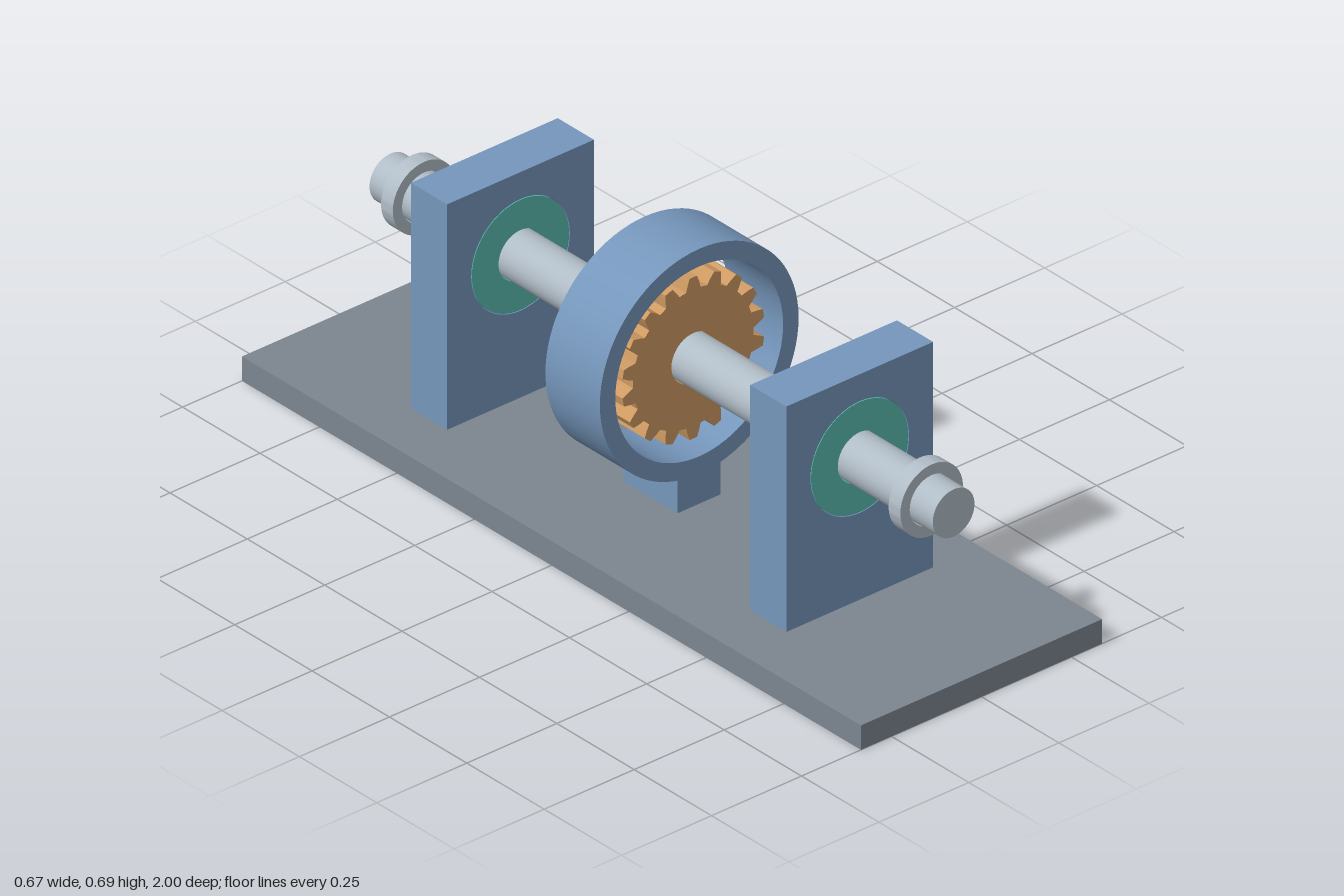
import * as THREE from 'three';
import { toCreasedNormals } from 'three/addons/utils/BufferGeometryUtils.js';

const AXIS_Y = 0.41;      // shaft height
const BORE = 0.061;       // clearance bore around the shaft
const BASE_TOP = 0.06;

function material(name, color) {
  const m = new THREE.MeshStandardMaterial({ color });
  m.name = name;
  return m;
}

function hole(shape, radius) {
  const path = new THREE.Path();
  path.absarc(0, 0, radius, 0, Math.PI * 2, true);
  shape.holes.push(path);
  return shape;
}

function disc(radius) {
  const shape = new THREE.Shape();
  shape.absarc(0, 0, radius, 0, Math.PI * 2, false);
  return shape;
}

// Extrude along z, centred on z = 0, smooth round the curves
function extrude(shape, depth) {
  const geo = new THREE.ExtrudeGeometry(shape, { depth, bevelEnabled: false, curveSegments: 40 });
  geo.translate(0, 0, -depth / 2);
  return toCreasedNormals(geo, 0.4);
}

function gearShape(teeth, root, tip) {
  const shape = new THREE.Shape();
  const step = (Math.PI * 2) / teeth;
  // fraction of the pitch and height for each corner of a tooth
  const profile = [[-0.34, 0], [-0.25, 0.5], [-0.15, 1], [0.15, 1], [0.25, 0.5], [0.34, 0]];
  for (let i = 0; i < teeth; i++) {
    for (const [t, h] of profile) {
      const a = Math.PI / 2 + (i + t) * step;
      const r = root + (tip - root) * h;
      const x = Math.cos(a) * r, y = Math.sin(a) * r;
      if (i === 0 && t === profile[0][0]) shape.moveTo(x, y);
      else shape.lineTo(x, y);
    }
  }
  shape.closePath();
  return shape;
}

export function createModel() {
  const model = new THREE.Group();
  model.name = 'shaftTestStand';

  const baseGrey = material('base grey', 0x7c8690);
  const steelBlue = material('housing blue', 0x7596bb);
  const silver = material('shaft silver', 0xb0bcc6);
  const teal = material('bearing teal', 0x5ab9b0);
  const bronze = material('gear bronze', 0xce9a62);

  const add = (name, geo, mat, y = 0, z = 0) => {
    const mesh = new THREE.Mesh(geo, mat);
    mesh.name = name;
    mesh.position.set(0, y, z);
    model.add(mesh);
    return mesh;
  };

  // Base plate
  add('basePlate', new THREE.BoxGeometry(0.67, BASE_TOP, 2), baseGrey, BASE_TOP / 2);

  // Shaft
  const shaft = new THREE.CylinderGeometry(0.058, 0.058, 1.82, 64);
  shaft.rotateX(Math.PI / 2);
  add('shaft', shaft, silver, AXIS_Y);

  // Bored support block outline, relative to the shaft axis
  const block = new THREE.Shape();
  const bottom = BASE_TOP - AXIS_Y, top = 0.613 - AXIS_Y;
  block.moveTo(-0.204, bottom);
  block.lineTo(0.204, bottom);
  block.lineTo(0.204, top);
  block.lineTo(-0.204, top);
  block.closePath();
  const blockGeo = extrude(hole(block, 0.137), 0.117);
  const bearingGeo = extrude(hole(disc(0.135), BORE), 0.117);
  const collarGeo = extrude(hole(disc(0.087), BORE), 0.038);

  // Support, bearing and collar at each end
  for (const [end, s] of [['front', 1], ['back', -1]]) {
    add(end + 'Support', blockGeo, steelBlue, AXIS_Y, s * 0.548);
    add(end + 'Bearing', bearingGeo, teal, AXIS_Y, s * 0.548);
    add(end + 'Collar', collarGeo, silver, AXIS_Y, s * 0.82);
  }

  // Ring housing on its foot
  add('ringHousing', extrude(hole(disc(0.276), 0.233), 0.176), steelBlue, AXIS_Y);
  add('ringFoot', new THREE.BoxGeometry(0.12, 0.09, 0.174), steelBlue, BASE_TOP + 0.045);

  // Gear inside the ring
  add('gear', extrude(hole(gearShape(18, 0.168, 0.198), BORE), 0.138), bronze, AXIS_Y);

  return model;
}
